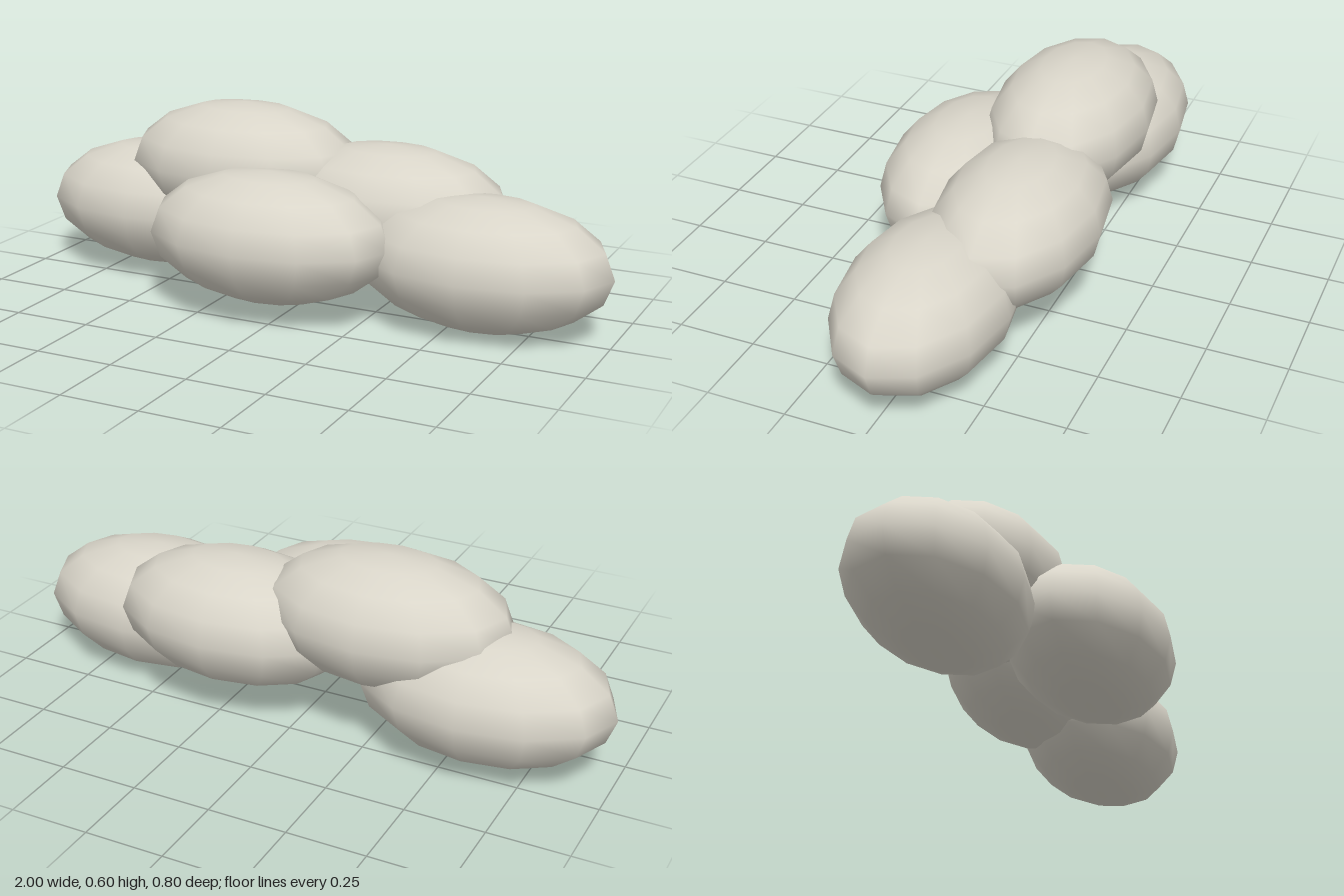
import * as THREE from 'three';

// A cluster of five overlapping, flattened puffs
export function createModel() {
  const group = new THREE.Group();
  group.name = 'puffCluster';
  const paleStone = new THREE.MeshStandardMaterial({ color: 0xd9d5c9 });
  paleStone.name = 'paleStone';

  // One smooth-shaded low-poly ellipsoid shared by every puff
  const puff = new THREE.SphereGeometry(1, 12, 8);
  puff.scale(0.405, 0.2065, 0.2545);

  const places = {
    rightPuff: [-0.595, 0.23, -0.134],
    topPuff: [-0.27, 0.395, -0.121],
    frontPuff: [-0.049, 0.25, 0.1455],
    backPuff: [0.228, 0.301, -0.1455],
    leftPuff: [0.595, 0.2065, -0.012],
  };
  for (const [name, position] of Object.entries(places)) {
    const mesh = new THREE.Mesh(puff, paleStone);
    mesh.name = name;
    mesh.position.set(...position);
    group.add(mesh);
  }
  return group;
}
